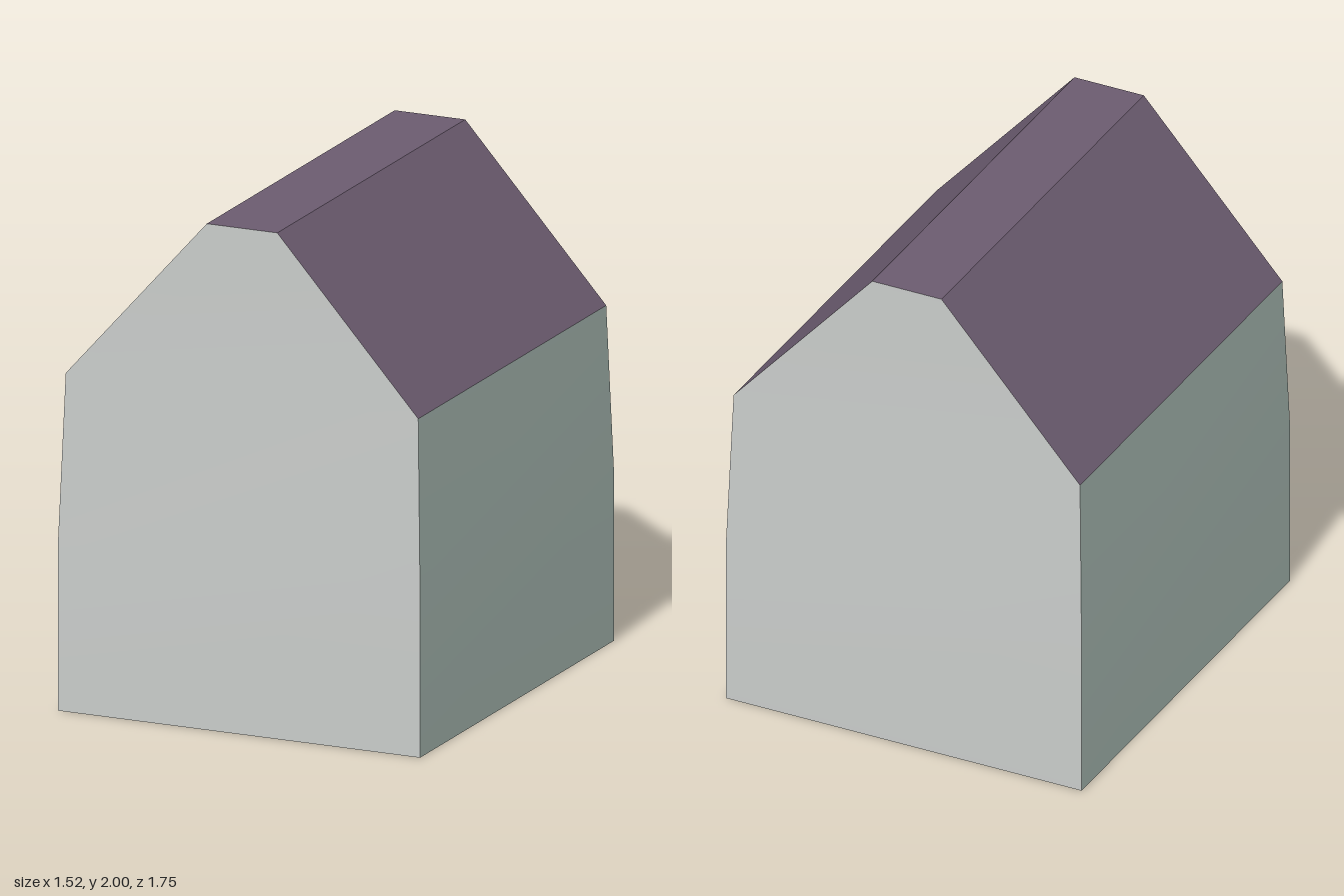
import * as THREE from 'three';

const paint = (name, color) => {
  const m = new THREE.MeshStandardMaterial({ color });
  m.name = name;
  return m;
};

// Strip of quads: each row is [left point, right point] seen from outside, bottom to top.
function panel(name, rows, material) {
  const index = [];
  for (let i = 0; i < rows.length - 1; i++) {
    const a = i * 2;
    index.push(a, a + 1, a + 3, a, a + 3, a + 2);
  }
  const geo = new THREE.BufferGeometry();
  geo.setAttribute('position', new THREE.Float32BufferAttribute(rows.flat(2), 3));
  geo.setIndex(index);
  geo.computeVertexNormals();
  const mesh = new THREE.Mesh(geo, material);
  mesh.name = name;
  return mesh;
}

export function createModel() {
  const house = new THREE.Group();
  house.name = 'house';

  const gablePaint = paint('pale grey', 0xc8cbc9);
  const sidePaint = paint('sage green', 0xa5b6af);
  const roofPaint = paint('dusky purple', 0x6b5b6f);

  // Wall sections as [height, half width, half depth], leaning in towards the eaves
  const walls = [[0, 0.76, 0.877], [0.67, 0.76, 0.877], [1.335, 0.74, 0.85]];
  const ridge = [2, 0.148, 0.85];
  const [, eaveX, eaveZ] = walls[2];
  const eaveY = walls[2][0];
  const [top, ridgeX, ridgeZ] = ridge;

  const acrossX = ([y, x, z]) => [[-x, y, z], [x, y, z]];
  const acrossZ = ([y, x, z]) => [[x, y, z], [x, y, -z]];

  // Gable, side wall and roof slope, each repeated on the opposite side
  ['front', 'back'].forEach((end, i) => {
    const half = new THREE.Group();
    half.name = i ? 'backRightHalf' : 'frontLeftHalf';
    half.rotation.y = i * Math.PI;
    const side = i ? 'right' : 'left';
    half.add(
      panel(end + 'Gable', [...walls, ridge].map(acrossX), gablePaint),
      panel(side + 'Wall', walls.map(acrossZ), sidePaint),
      panel(side + 'RoofSlope', [
        [[eaveX, eaveY, eaveZ], [eaveX, eaveY, -eaveZ]],
        [[ridgeX, top, ridgeZ], [ridgeX, top, -ridgeZ]],
      ], roofPaint)
    );
    house.add(half);
  });

  // Flat strip along the ridge
  house.add(panel('roofRidge', [
    [[-ridgeX, top, ridgeZ], [ridgeX, top, ridgeZ]],
    [[-ridgeX, top, -ridgeZ], [ridgeX, top, -ridgeZ]],
  ], roofPaint));

  // Underside
  const [, baseX, baseZ] = walls[0];
  house.add(panel('floor', [
    [[-baseX, 0, -baseZ], [baseX, 0, -baseZ]],
    [[-baseX, 0, baseZ], [baseX, 0, baseZ]],
  ], roofPaint));

  return house;
}
